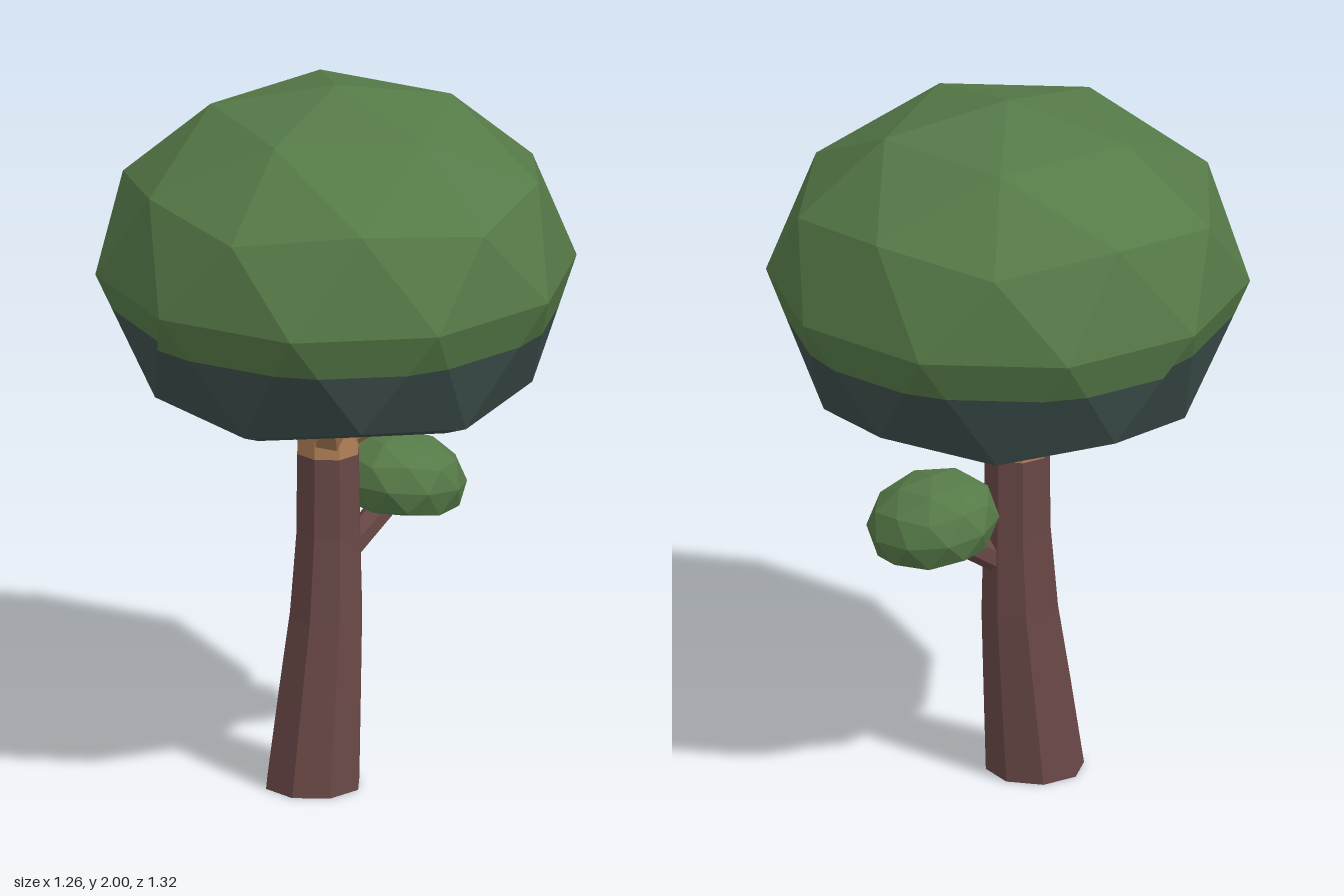
import * as THREE from 'three';

const paint = (name, color) => {
  const m = new THREE.MeshStandardMaterial({ color, flatShading: true });
  m.name = name;
  return m;
};
const V = (x, y, z) => new THREE.Vector3(x, y, z);

function fromTriangles(points) {
  const g = new THREE.BufferGeometry().setFromPoints(points);
  g.computeVertexNormals();
  return g;
}

// ring of points around a centre, facing along dir; radius may vary by index
function ring(centre, radius, sides, start = 0, dir = V(0, 1, 0)) {
  const q = new THREE.Quaternion().setFromUnitVectors(V(0, 1, 0), dir);
  return Array.from({ length: sides }, (_, i) => {
    const a = start + (i / sides) * Math.PI * 2;
    const r = typeof radius === 'function' ? radius(i) : radius;
    return V(Math.sin(a) * r, 0, Math.cos(a) * r).applyQuaternion(q).add(centre);
  });
}

// triangles joining rings listed from bottom to top
function loft(rings) {
  const out = [];
  for (let j = 0; j + 1 < rings.length; j++) {
    const a = rings[j], b = rings[j + 1], n = a.length;
    for (let i = 0; i < n; i++) {
      const k = (i + 1) % n;
      out.push(a[i], a[k], b[k], a[i], b[k], b[i]);
    }
  }
  return out;
}

// faceted ball with a vertex at the top and a level ten-sided equator
function ballTriangles(rule) {
  const g = new THREE.IcosahedronGeometry(1, 1);
  g.rotateZ(-Math.atan(2 / (1 + Math.sqrt(5))));
  const p = g.attributes.position, out = [];
  for (let i = 0; i < p.count; i++) out.push(rule(V(0, 0, 0).fromBufferAttribute(p, i)));
  return out;
}

// part of a triangle above (sign 1) or below (sign -1) a level
function clip(tri, level, sign) {
  const poly = [], out = [];
  tri.forEach((p, i) => {
    const q = tri[(i + 1) % 3];
    const dp = (p.y - level) * sign, dq = (q.y - level) * sign;
    if (dp >= 0) poly.push(p);
    if (dp * dq < 0) poly.push(p.clone().lerp(q, dp / (dp - dq)));
  });
  for (let i = 1; i + 1 < poly.length; i++) out.push(poly[0], poly[i], poly[i + 1]);
  return out;
}

export function createModel() {
  const leaf = paint('leaf green', 0x567a48);
  const shade = paint('slate underside', 0x3e504d);
  const bark = paint('bark brown', 0x694846);
  const wood = paint('bare wood', 0xb07f55);
  bark.side = wood.side = THREE.DoubleSide;

  const tree = new THREE.Group();
  tree.name = 'tree';
  const add = (name, tris, material) => {
    const m = new THREE.Mesh(fromTriangles(tris), material);
    m.name = name;
    tree.add(m);
  };

  // trunk: leaning, tapering and open at the foot [y, z, radius]
  const trunk = [[0, 0.087, 0.136], [0.25, 0.062, 0.121], [0.48, 0.038, 0.106],
    [0.72, 0.029, 0.093], [0.95, 0.03, 0.09]];
  add('trunk', loft(trunk.map(([y, z, r]) => ring(V(0, y, z), r, 8, Math.PI / 8))), bark);

  // pale collar where the limbs fork
  const collar = [[0.95, 0.09], [1.01, 0.087], [1.06, 0.045], [1.075, 0.001]];
  add('collar', loft(collar.map(([y, r]) => ring(V(0, y, 0.03), r, 8, Math.PI / 8))), wood);

  // four diagonal limbs [reach, y, radius]
  const limb = [[0.02, 0.99, 0.055], [0.13, 1.052, 0.045], [0.24, 1.093, 0.03], [0.37, 1.123, 0.004]];
  for (let i = 0; i < 4; i++) {
    const a = Math.PI / 4 + (i * Math.PI) / 2, c = Math.cos(a), s = Math.sin(a);
    const dir = V(c, 0.4, s).normalize();
    add('limb' + (i + 1), loft(limb.map(([d, y, r]) =>
      ring(V(c * d, y, 0.03 * (1 - d / 0.37) + s * d), r, 5, 0, dir))), wood);
  }

  // crown: upper dome plus a pulled-in lower band, split into two colours
  const dome = ballTriangles((p) => {
    const low = p.y < -0.1, r = low ? 0.61 : 0.662;
    return V(p.x * r, 1.48 + p.y * 0.52 - (low ? 0.07 : 0), p.z * r);
  });
  const green = [], slate = [];
  for (let i = 0; i < dome.length; i += 3) {
    const tri = dome.slice(i, i + 3);
    if (tri.every((p) => p.y < 1.3)) continue;
    const x = tri[0].x + tri[1].x + tri[2].x, z = tri[0].z + tri[1].z + tri[2].z;
    const level = x < -0.1 && z > 0.1 ? 1.395 : 1.36;
    green.push(...clip(tri, level, 1));
    slate.push(...clip(tri, level, -1));
  }
  add('crownTop', green, leaf);
  add('crownLowerBand', slate, shade);

  // hollow underside: centre, recess, rim, then the lower edge of the dome
  const zig = (even, odd) => (i) => (i % 2 ? odd : even);
  const hollow = [[0.001, 0.001, 1.095, 1.095], [0.25, 0.25, 1.155, 1.155],
    [0.44, 0.38, 1.105, 1.112], [0.8507 * 0.61, 0.8944 * 0.61, 1.1366, 1.1775]];
  add('crownUnderside', loft(hollow.map(([r0, r1, y0, y1]) => {
    const pts = ring(V(0, 0, 0), zig(r0, r1), 10, Math.PI / 2);
    pts.forEach((p, i) => { p.y = zig(y0, y1)(i); });
    return pts;
  })), shade);

  // twig and small bush behind the trunk
  const twigDir = V(0, 0.15, -0.22).normalize();
  add('twig', loft([[0.62, 0], [0.77, -0.22]].map(([y, z]) =>
    ring(V(0, y, z), 0.038, 6, 0, twigDir))), bark);
  add('bush', ballTriangles((p) => V(p.x * 0.18,
    0.805 + Math.max(p.y, -0.62) * 0.135 - (p.y > 0.99 ? 0 : -p.z * 0.02),
    -0.243 + p.z * 0.183)), leaf);

  return tree;
}
